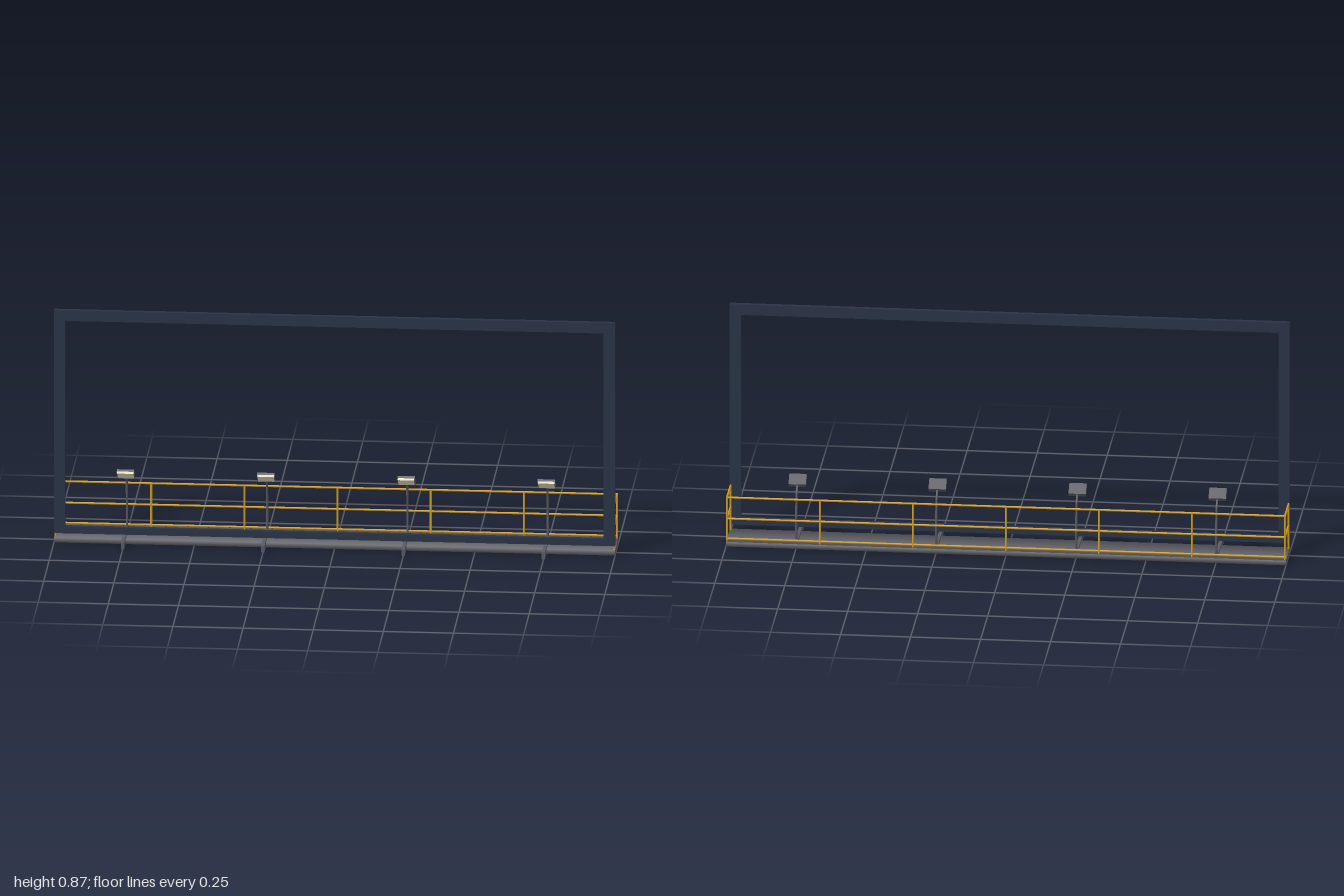
import * as THREE from 'three';

const mat = (name, color) => {
  const m = new THREE.MeshStandardMaterial({ color });
  m.name = name;
  return m;
};

export function createModel() {
  const navy = mat('navy frame paint', 0x2a3246);
  const steel = mat('grey steel', 0x595a61);
  const yellow = mat('yellow safety paint', 0xd09c1e);
  const cream = mat('lamp glass', 0xfff3d2);

  const model = new THREE.Group();
  model.name = 'billboardFrame';

  // Box given by its minimum and maximum corners
  const box = (parent, name, material, [x0, y0, z0], [x1, y1, z1]) => {
    const mesh = new THREE.Mesh(new THREE.BoxGeometry(x1 - x0, y1 - y0, z1 - z0), material);
    mesh.position.set((x0 + x1) / 2, (y0 + y1) / 2, (z0 + z1) / 2);
    mesh.name = name;
    parent.add(mesh);
    return mesh;
  };

  // Large rectangular frame, thinner at the bottom
  const frame = new THREE.Group();
  frame.name = 'frame';
  model.add(frame);
  for (const s of [-1, 1]) {
    box(frame, 'frameUpright', navy, [s > 0 ? 0.96 : -1, 0.037, 0.026], [s > 0 ? 1 : -0.96, 0.867, 0.044]);
  }
  box(frame, 'frameTop', navy, [-0.96, 0.828, 0.026], [0.96, 0.867, 0.044]);
  box(frame, 'frameBottom', navy, [-0.96, 0.037, 0.026], [0.96, 0.062, 0.044]);

  // Walkway deck, with normals rounded softly across its depth
  const deck = box(model, 'walkwayDeck', steel, [-1, 0, -0.106], [1, 0.018, 0.037]);
  const { position, normal } = deck.geometry.attributes;
  for (let i = 0; i < position.count; i++) {
    if (Math.abs(normal.getX(i)) > 0.5) continue;
    const n = new THREE.Vector3(0, Math.sign(position.getY(i)), Math.sign(position.getZ(i))).normalize();
    normal.setXYZ(i, n.x, n.y, n.z);
  }
  box(model, 'deckKerb', steel, [-1, 0.018, -0.106], [1, 0.025, -0.1]);

  // Guard rail of round tube around the back and both ends
  const railing = new THREE.Group();
  railing.name = 'guardRail';
  model.add(railing);
  const r = 0.0038, back = -0.1032, front = 0.0222, end = 1 - r;
  const up = new THREE.Vector3(0, 1, 0);
  const rod = (name, from, to) => {
    const a = new THREE.Vector3(...from), b = new THREE.Vector3(...to);
    const mesh = new THREE.Mesh(new THREE.CylinderGeometry(r, r, a.distanceTo(b), 10), yellow);
    mesh.position.copy(a).lerp(b, 0.5);
    mesh.quaternion.setFromUnitVectors(up, b.sub(a).normalize());
    mesh.name = name;
    railing.add(mesh);
  };
  for (let i = -3; i <= 3; i++) {
    rod('railPost', [(i / 3) * end, 0.02, back], [(i / 3) * end, 0.187, back]);
  }
  for (const y of [0.03, 0.105, 0.1845]) rod('backRail', [-1, y, back], [1, y, back]);
  for (const x of [-end, end]) {
    rod('railPost', [x, 0.018, front], [x, 0.187, front]);
    for (const y of [0.105, 0.1845]) rod('endRail', [x, y, back - r], [x, y, front + r]);
  }

  // Floodlights on bent poles, each above a support beam
  const curve = new THREE.CurvePath();
  const bends = [[0.018, -0.092], [0.12, -0.096], [0.2, -0.081], [0.229, -0.052]]
    .map(([y, z]) => new THREE.Vector3(0, y, z));
  for (let i = 1; i < bends.length; i++) curve.add(new THREE.LineCurve3(bends[i - 1], bends[i]));
  const poleGeometry = new THREE.TubeGeometry(curve, 24, 0.004, 8);

  for (const x of [-0.75, -0.25, 0.25, 0.75]) {
    box(model, 'supportBeam', steel, [x - 0.006, 0.002, -0.105], [x + 0.006, 0.027, 0.107]);

    const lamp = new THREE.Group();
    lamp.name = 'floodlight';
    lamp.position.x = x;
    const pole = new THREE.Mesh(poleGeometry, steel);
    pole.name = 'lampPole';
    lamp.add(pole);

    // Head tilts up; its glass faces forward and down and wraps the front lip
    const head = new THREE.Group();
    head.name = 'lampHead';
    head.position.set(0, 0.237, -0.042);
    head.rotation.x = -0.68;
    box(head, 'lampHousing', steel, [-0.031, -0.008, -0.023], [0.031, 0.008, 0.022]);
    box(head, 'lampGlass', cream, [-0.029, -0.009, -0.021], [0.029, -0.001, 0.0228]);
    lamp.add(head);
    model.add(lamp);
  }
  return model;
}
